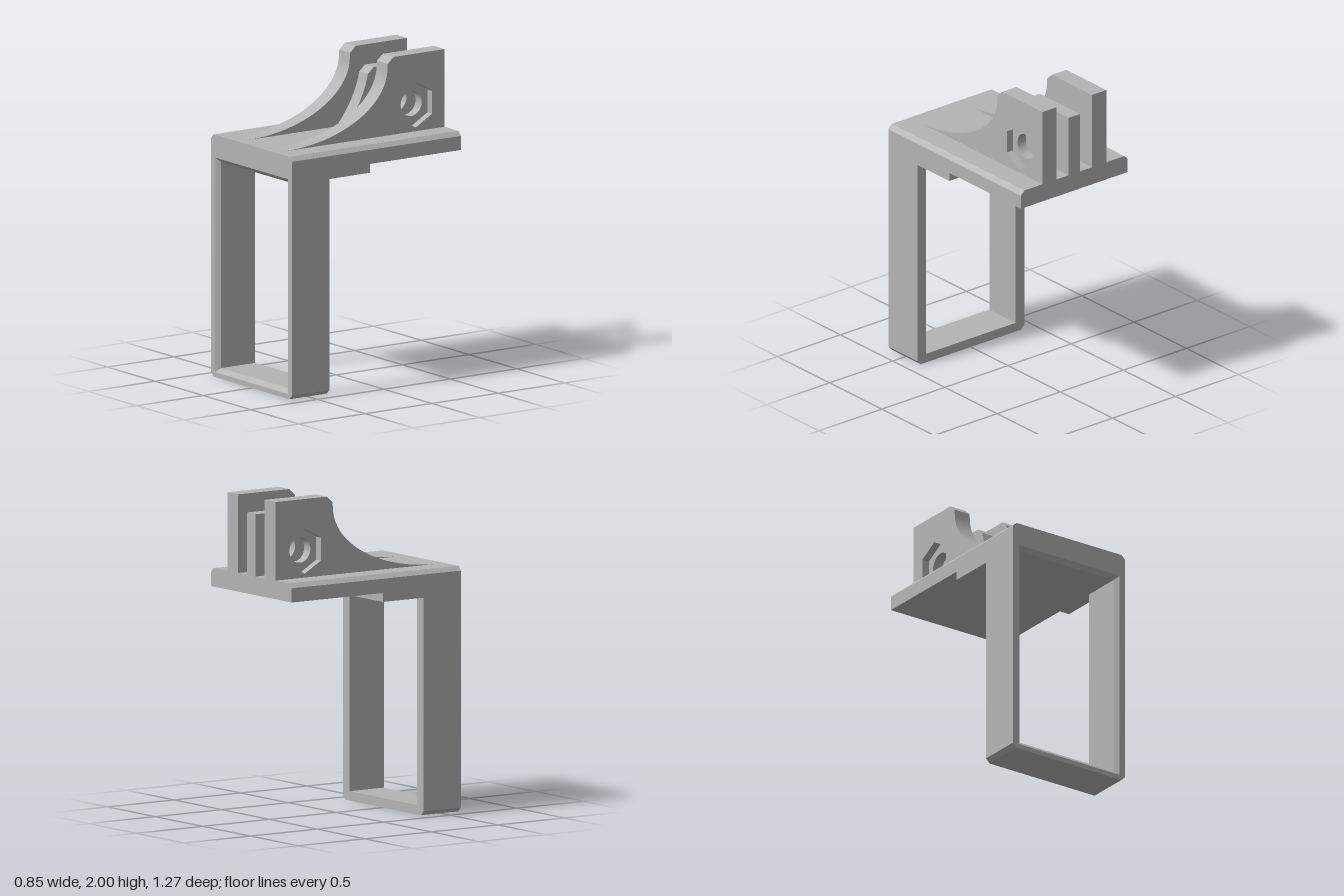
import * as THREE from 'three';
import { toCreasedNormals } from 'three/addons/utils/BufferGeometryUtils.js';

const grey = new THREE.MeshStandardMaterial({ color: 0xb4b4b4 });
grey.name = 'grey plastic';
const greyOpen = grey;

const W = 0.423, TOP = 1.515, BACK = -0.635, FRONT = 0.635;
const HOLE = [-0.418, 1.68];

function polygon(points, PathType = THREE.Shape) {
  return new PathType(points.map(([x, y]) => new THREE.Vector2(x, y)));
}

function rectangle(halfWidth, y0, y1) {
  return [[-halfWidth, y0], [halfWidth, y0], [halfWidth, y1], [-halfWidth, y1]];
}

function ringPoints(radius, sides) {
  return Array.from({ length: sides }, (_, i) => {
    const a = Math.PI / 2 + (i / sides) * Math.PI * 2;
    return [HOLE[0] + radius * Math.cos(a), HOLE[1] + radius * Math.sin(a)];
  });
}

function add(parent, name, geometry) {
  const mesh = new THREE.Mesh(geometry, greyOpen);
  mesh.name = name;
  parent.add(mesh);
}

// Front outline pushed along z
function alongZ(points, hole, z0, z1) {
  const shape = polygon(points);
  if (hole) shape.holes.push(polygon(hole, THREE.Path));
  return new THREE.ExtrudeGeometry(shape, { depth: z1 - z0, bevelEnabled: false }).translate(0, 0, z0);
}

// Side outline (z, y) pushed along x
function alongX(points, hole, x0, x1) {
  const shape = polygon(points);
  shape.holes.push(polygon(hole, THREE.Path));
  const geometry = new THREE.ExtrudeGeometry(shape, { depth: x1 - x0, bevelEnabled: false });
  return toCreasedNormals(geometry.rotateY(-Math.PI / 2).translate(x1, 0, 0), 0.45);
}

// Sloping strip between two rectangles, facing into the opening
function bevelStrip(front, zFront, back, zBack) {
  const positions = [];
  for (let i = 0; i < 4; i++) {
    const j = (i + 1) % 4;
    const a = [...front[i], zFront], b = [...front[j], zFront];
    const c = [...back[j], zBack], d = [...back[i], zBack];
    positions.push(...a, ...b, ...c, ...a, ...c, ...d);
  }
  const geometry = new THREE.BufferGeometry();
  geometry.setAttribute('position', new THREE.Float32BufferAttribute(positions, 3));
  geometry.computeVertexNormals();
  return geometry;
}

export function createModel() {
  const model = new THREE.Group();
  model.name = 'mountingBracket';

  // Rectangular loop with a bevelled front opening
  const frame = new THREE.Group();
  frame.name = 'frame';
  model.add(frame);
  const c = 0.027;
  const outline = [
    [-W + c, 0], [W - c, 0], [W, c], [W, TOP - c],
    [W - c, TOP], [-W + c, TOP], [-W, TOP - c], [-W, c],
  ];
  const inner = rectangle(0.355, 0.058, 1.345);
  const mouth = rectangle(0.382, 0.031, 1.372);
  const zBevel = FRONT - 0.027;
  add(frame, 'frameLoop', alongZ(outline, inner, 0.355, zBevel));
  add(frame, 'frameRim', alongZ(outline, mouth, zBevel, FRONT));
  add(frame, 'openingBevel', bevelStrip(mouth, FRONT, inner, zBevel));

  // Top plate and the thicker step under it
  const plate = [
    [-W, 1.4], [W, 1.4], [W, TOP - c], [W - c, TOP], [-W + c, TOP], [-W, TOP - c],
  ];
  add(model, 'topPlate', alongZ(plate, null, BACK, 0.355));
  add(model, 'plateStep', alongZ(rectangle(W, 1.345, 1.4), null, 0.05, 0.355));

  // Outer fins: chamfered top and a long elliptical sweep down to the plate
  const outerFin = [[BACK, 1.5], [0.57, 1.5]];
  for (let i = 0; i <= 24; i++) {
    const a = (i / 24) * Math.PI / 2;
    outerFin.push([0.57 - 0.775 * Math.sin(a), 1.935 - 0.42 * Math.cos(a)]);
  }
  outerFin.push([-0.207, 1.962], [-0.25, 2], [BACK, 2]);

  const round = ringPoints(0.079, 40);
  const hexagon = ringPoints(0.142, 6);
  for (const side of [-1, 1]) {
    const fin = new THREE.Group();
    fin.name = side > 0 ? 'leftFin' : 'rightFin';
    model.add(fin);
    const slab = (name, hole, x0, x1) =>
      add(fin, name, alongX(outerFin, hole, side > 0 ? x0 : -x1, side > 0 ? x1 : -x0));
    slab('finInner', round, 0.14, 0.205);
    slab('finNutPocket', hexagon, 0.205, 0.253);
  }

  // Shorter middle fin with a steep concave front
  const curve = new THREE.QuadraticBezierCurve(
    new THREE.Vector2(-0.01, TOP), new THREE.Vector2(-0.17, 1.68), new THREE.Vector2(-0.207, 1.862));
  const middleFin = [[BACK, 1.5], [-0.01, 1.5],
    ...curve.getPoints(10).map((p) => [p.x, p.y]), [-0.25, 1.9], [BACK, 1.9]];
  add(model, 'middleFin', alongX(middleFin, round, -0.045, 0.045));

  return model;
}
